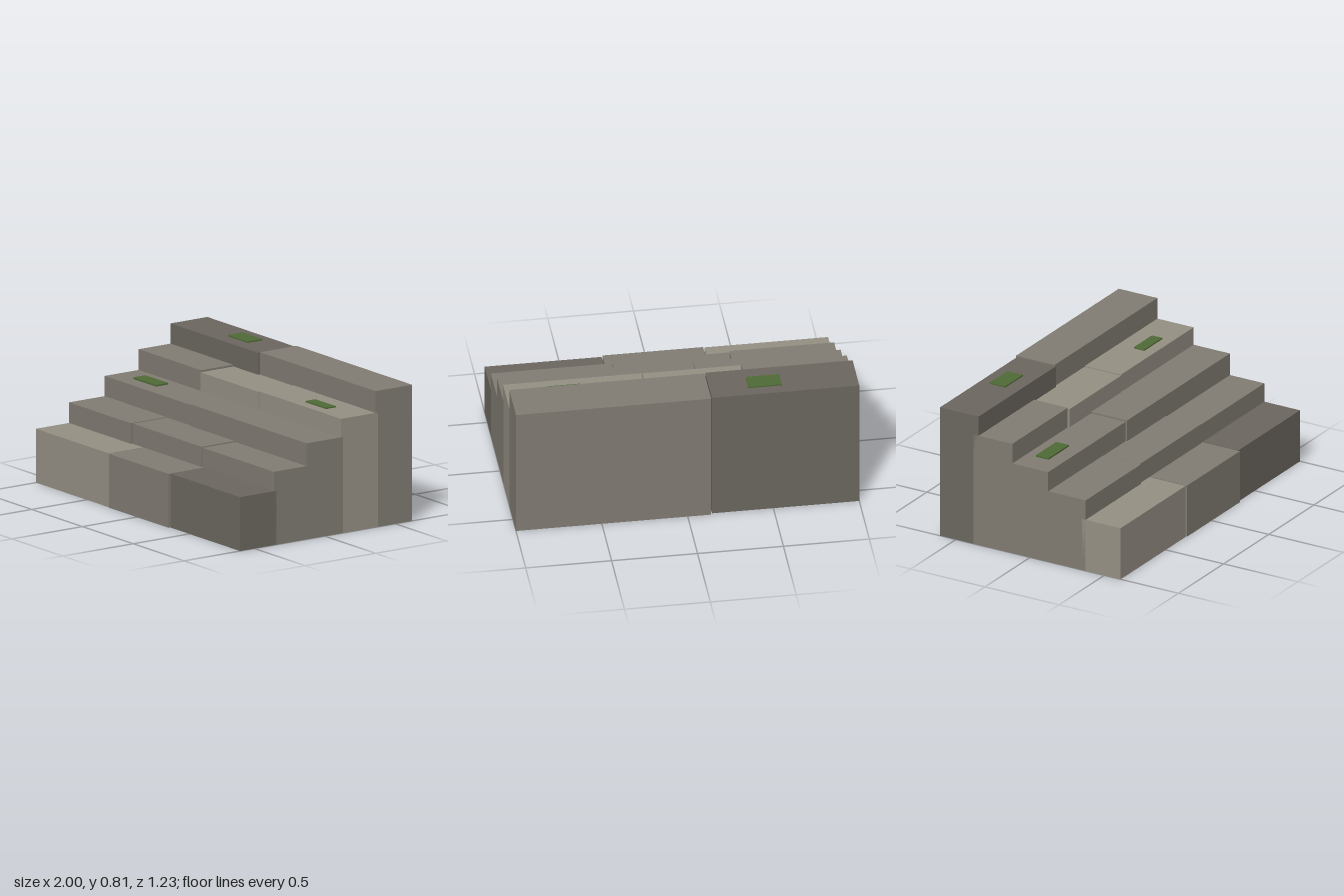
import * as THREE from 'three';

const stone = (color) => new THREE.MeshStandardMaterial({ color, flatShading: true });

export function createModel() {
  const group = new THREE.Group();
  group.name = 'stoneSteps';
  const light = stone(0x948f83);
  const mid = stone(0x807b72);
  const dark = stone(0x6b675f);
  const moss = stone(0x4f6a35);

  // Box given by its limits on each axis
  const block = (parent, name, material, x0, x1, y0, y1, z0, z1) => {
    const mesh = new THREE.Mesh(new THREE.BoxGeometry(x1 - x0, y1 - y0, z1 - z0), material);
    mesh.position.set((x0 + x1) / 2, (y0 + y1) / 2, (z0 + z1) / 2);
    mesh.name = name;
    parent.add(mesh);
  };

  // Rows from the front upwards; each stone: [x start, x end, height, front z, material]
  const depth = 0.26;
  const rows = [
    [[-1, -0.28, 0.32, 0.61, light], [-0.273, 0.313, 0.32, 0.615, mid], [0.32, 1, 0.32, 0.602, dark]],
    [[-1, -0.39, 0.442, 0.375, mid], [-0.384, 0.293, 0.44, 0.365, mid], [0.299, 1, 0.435, 0.362, mid]],
    [[-1, -0.143, 0.562, 0.122, mid], [-0.138, 1, 0.57, 0.13, mid]],
    [[-1, -0.386, 0.685, -0.12, mid], [-0.38, 0.19, 0.675, -0.112, light], [0.196, 1, 0.679, -0.115, light]],
    [[-1, -0.143, 0.805, -0.347, dark], [-0.136, 1, 0.808, -0.359, mid]],
  ];
  rows.forEach((stones, i) => {
    const step = new THREE.Group();
    step.name = `step${i + 1}`;
    group.add(step);
    stones.forEach(([x0, x1, height, front, material], j) =>
      block(step, `stone${j + 1}`, material, x0, x1, 0, height, front - depth, front));
  });

  // Thin moss patches lying on the treads
  block(group, 'mossPatchTop', moss, -0.56, -0.365, 0.8, 0.813, -0.54, -0.435);
  block(group, 'mossPatchUpper', moss, 0.56, 0.76, 0.673, 0.687, -0.25, -0.18);
  block(group, 'mossPatchMiddle', moss, -0.845, -0.62, 0.558, 0.572, -0.055, 0.03);

  return group;
}
